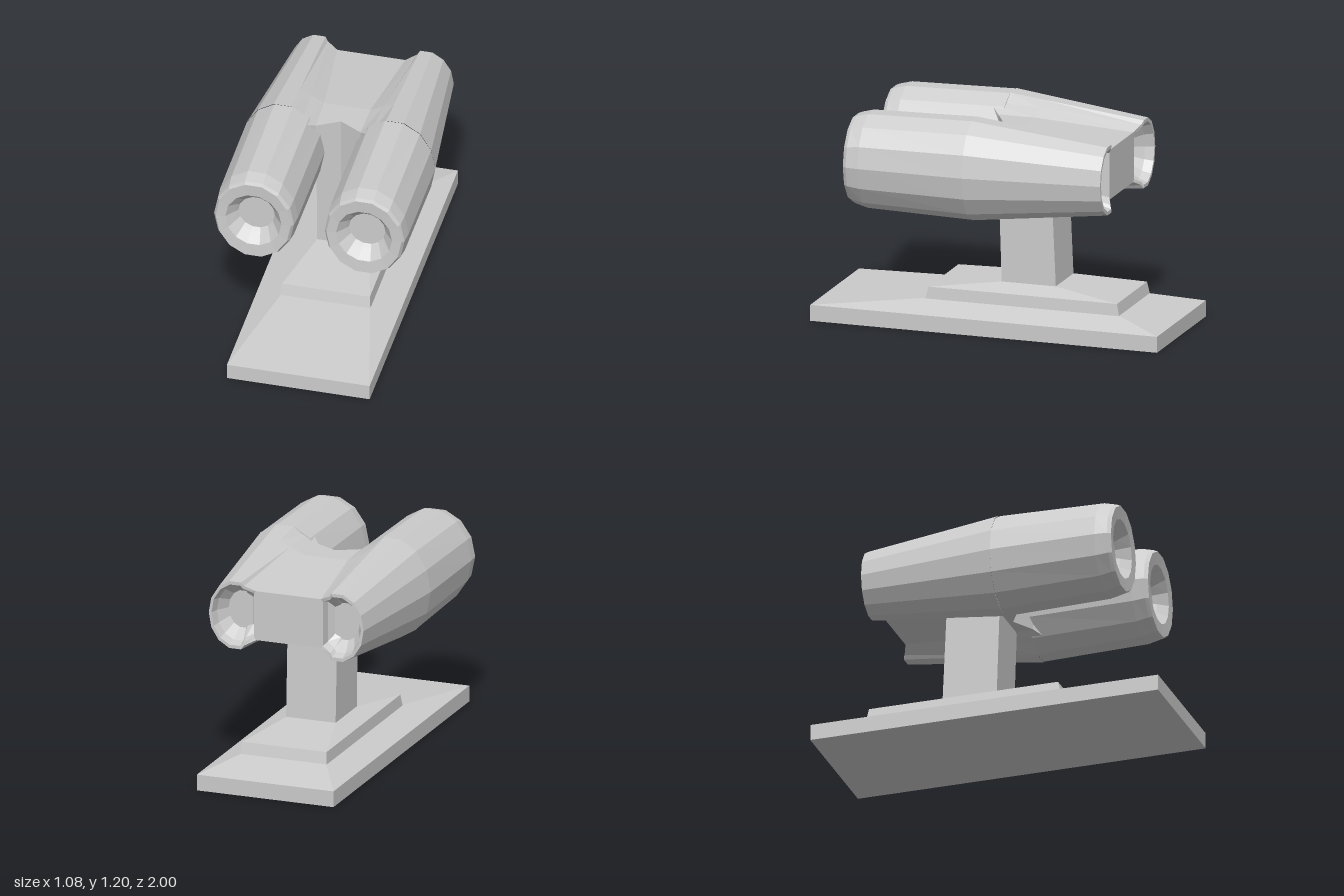
import * as THREE from 'three';

const CY = 0.92; // height of the optical axes
const SIDES = 14;
const material = new THREE.MeshStandardMaterial({ color: 0xcccccc, flatShading: true });

// Skin a row of equal-length cross-sections
// (each runs clockwise when seen from the end of the row)
function loft(name, loops, closed = true) {
  const pos = [];
  const same = (p, q) => p.every((v, i) => Math.abs(v - q[i]) < 1e-6);
  const tri = (a, b, c) => {
    if (!same(a, b) && !same(b, c) && !same(a, c)) pos.push(...a, ...b, ...c);
  };
  for (let k = 0; k + 1 < loops.length; k++) {
    const A = loops[k], B = loops[k + 1], n = A.length;
    for (let i = 0; i < (closed ? n : n - 1); i++) {
      const j = (i + 1) % n;
      tri(A[i], B[i], A[j]);
      tri(A[j], B[i], B[j]);
    }
  }
  const geometry = new THREE.BufferGeometry();
  geometry.setAttribute('position', new THREE.Float32BufferAttribute(pos, 3));
  geometry.computeVertexNormals();
  const mesh = new THREE.Mesh(geometry, material);
  mesh.name = name;
  return mesh;
}

const collapse = (loop, c) => loop.map(() => c);
const mirrorX = (loop) => loop.map(([x, y, z]) => [-x, y, z]).reverse();
const flipY = (loop) => loop.map(([x, y, z]) => [x, 2 * CY - y, z]).reverse();

// Point k of a 14-sided oval barrel section, k = 0 at the inner end of the flat top
function ovalPoint(cx, k, rx, ry, z) {
  const a = ((k - 0.5) * 2 * Math.PI) / SIDES;
  return [cx + rx * Math.sin(a), CY + ry * Math.cos(a), z];
}
const oval = (cx, rx, ry, z) =>
  Array.from({ length: SIDES }, (_, k) => ovalPoint(cx, k, rx, ry, z));

// Rectangular section for the stand
const rect = (y, hx, zBack, zFront) =>
  [[-hx, y, zBack], [hx, y, zBack], [hx, y, zFront], [-hx, y, zFront]];

function capped(name, loops) {
  const mid = (l) => [0, l[0][1], (l[0][2] + l[2][2]) / 2];
  const first = loops[0], last = loops[loops.length - 1];
  return loft(name, [collapse(first, mid(first)), ...loops, collapse(last, mid(last))]);
}

// Outer side of the rear housing; t = 0 at the eyepieces, 1 at the widest section
function housingArc(t, z) {
  const s = THREE.MathUtils.lerp(0.685, 1, t);
  return Array.from({ length: 9 }, (_, k) => {
    const [x, y] = ovalPoint(0.315, k, 0.225, 0.2865, z);
    return [0.265 + (x - 0.265) * s, CY + (y - CY) * s, z];
  });
}

// Full housing section: centre, bridge edge, valley point, outer arc, then reflections
function housingLoop({ t, z, bridge }) {
  const top = bridge;
  const half = [...top, ...housingArc(t, z), ...flipY(top)];
  return [...half, ...mirrorX(half).slice(1, -1)];
}

const STATIONS = [
  { t: 0, z: -0.69, bridge: [[0, 1.06, -0.655], [0.19, 1.06, -0.655], [0.25, 1.09, -0.68]] },
  { t: 0.75, z: -0.11, bridge: [[0, 1.11, -0.11], [0.13, 1.11, -0.11], [0.205, 1.148, -0.11]] },
  { t: 1, z: 0.08, bridge: [[0, 1.11, 0.03], [0.125, 1.11, 0.1], [0.19, 1.155, 0.17]] },
];

export function createModel() {
  const model = new THREE.Group();

  // Stepped stand
  model.add(
    capped('base', [
      rect(0, 0.4, -1, 1), rect(0.09, 0.4, -1, 1), rect(0.145, 0.25, -0.73, 0.39),
    ]),
    capped('upperStep', [
      rect(0.14, 0.253, -0.73, 0.39), rect(0.21, 0.246, -0.715, 0.372),
      rect(0.248, 0.145, -0.326, -0.015),
    ]),
    capped('column', [
      rect(0.24, 0.145, -0.327, -0.015), rect(0.85, 0.145, -0.3, 0.005),
    ]),
  );

  // Rear housing: tapering shells joined by the bridge
  model.add(loft('housing', STATIONS.map(housingLoop)));

  // Notched front and flat back of the bridge
  const row = (half) => [...half.slice(1).map(([x, y, z]) => [-x, y, z]).reverse(), ...half];
  const low = (r) => r.map(([x, y, z]) => [x, 2 * CY - y, z]);
  const front = row(STATIONS[2].bridge).reverse();
  const back = row(STATIONS[0].bridge.slice(0, 2));
  model.add(
    loft('bridgeFront', [low(front), front], false),
    loft('bridgeBack', [low(back), back], false),
  );

  // Eyepiece cup: thin rim, sloping wall and recessed lens
  const edge = STATIONS[0].bridge.slice(1);
  const rim = [...edge, ...housingArc(0, -0.69), ...flipY(edge)];
  const inset = (s, dz) =>
    rim.map(([x, y, z]) => [0.3 + (x - 0.3) * s, CY + (y - CY) * s, z + dz]);
  const floor = inset(0.55, 0).map(([x, y]) => [x, y, -0.57]);
  const cup = [collapse(rim, [0.3, CY, -0.57]), floor, inset(0.82, 0.05), inset(0.9, 0), rim];

  // Front barrel: closed tube, bevelled rim and recessed lens
  const cx = 0.31;
  const sections = [
    [0.23, 0.285, 0.08], [0.23, 0.271, 0.68], [0.224, 0.252, 0.75], [0.21, 0.243, 0.77],
    [0.157, 0.168, 0.765], [0.115, 0.118, 0.71], [0.102, 0.102, 0.69],
  ].map(([rx, ry, z]) => oval(cx, rx, ry, z));
  const barrel = [
    collapse(sections[0], [cx, CY, 0.08]), ...sections,
    collapse(sections[0], [cx, CY, 0.69]),
  ];

  for (const side of ['left', 'right']) {
    const place = side === 'left' ? (l) => l : mirrorX;
    model.add(
      loft(side + 'Eyepiece', cup.map(place)),
      loft(side + 'Barrel', barrel.map(place)),
    );
  }
  return model;
}
